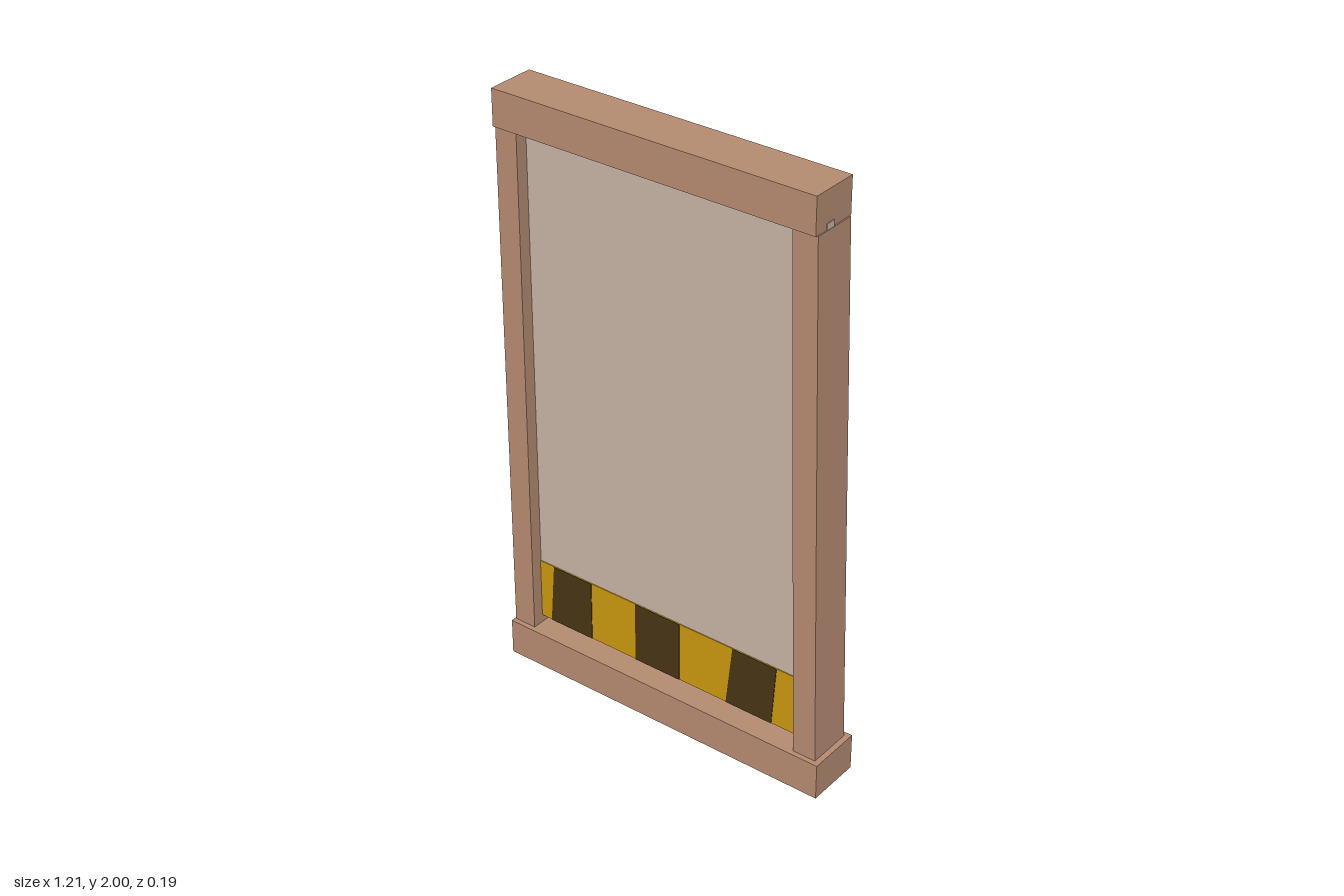
import * as THREE from 'three';

const material = (name, color, side = THREE.FrontSide) =>
  new THREE.MeshStandardMaterial({ name, color, side });

export function createModel() {
  const wood = material('wood', 0xb48a71);
  const pane = material('pale panel', 0xc5b2a4);
  const gold = material('warning yellow', 0xc8960f);
  const dark = material('warning dark', 0x453414);
  const rubber = material('rubber', 0x343434);

  const model = new THREE.Group();
  model.name = 'doorFrame';

  // Box given by its limits on each axis
  function box(name, mat, [x0, x1], [y0, y1], [z0, z1]) {
    const mesh = new THREE.Mesh(new THREE.BoxGeometry(x1 - x0, y1 - y0, z1 - z0), mat);
    mesh.position.set((x0 + x1) / 2, (y0 + y1) / 2, (z0 + z1) / 2);
    mesh.name = name;
    model.add(mesh);
  }

  // Four-cornered prism: x limits at the bottom and at the top
  function prism(name, mat, [b0, b1], [t0, t1], [y0, y1], [z0, z1]) {
    const shape = new THREE.Shape([
      new THREE.Vector2(b0, y0), new THREE.Vector2(b1, y0),
      new THREE.Vector2(t1, y1), new THREE.Vector2(t0, y1),
    ]);
    const geometry = new THREE.ExtrudeGeometry(shape, { depth: z1 - z0, bevelEnabled: false });
    geometry.translate(0, 0, z0);
    const mesh = new THREE.Mesh(geometry, mat);
    mesh.name = name;
    model.add(mesh);
  }

  // Wooden frame, with the left post leaning inward
  box('sill', wood, [-0.606, 0.606], [0, 0.125], [-0.094, 0.094]);
  box('lintel', wood, [-0.606, 0.53], [1.88, 2], [-0.083, 0.083]);
  box('rightPost', wood, [-0.602, -0.523], [0.125, 1.88], [-0.077, 0.077]);
  prism('leftPost', wood, [0.506, 0.587], [0.45, 0.534], [0.125, 1.88], [-0.077, 0.077]);

  // Door panel, set into the frame, with a rubber strip under it
  box('panel', pane, [-0.57, 0.533], [0.182, 1.9], [0, 0.034]);
  box('bottomSeal', rubber, [-0.57, 0.533], [0.152, 0.182], [0, 0.034]);

  // Warning band on the front of the panel
  box('warningBand', gold, [-0.57, 0.533], [0.152, 0.366], [0.034, 0.037]);
  const stripes = [
    [[-0.481, -0.312], [-0.465, -0.312]],
    [[-0.134, 0.04], [-0.134, 0.04]],
    [[0.222, 0.395], [0.245, 0.41]],
  ];
  for (const [bottom, top] of stripes) {
    prism('warningStripe', dark, bottom, top, [0.152, 0.366], [0.037, 0.039]);
  }

  return model;
}
